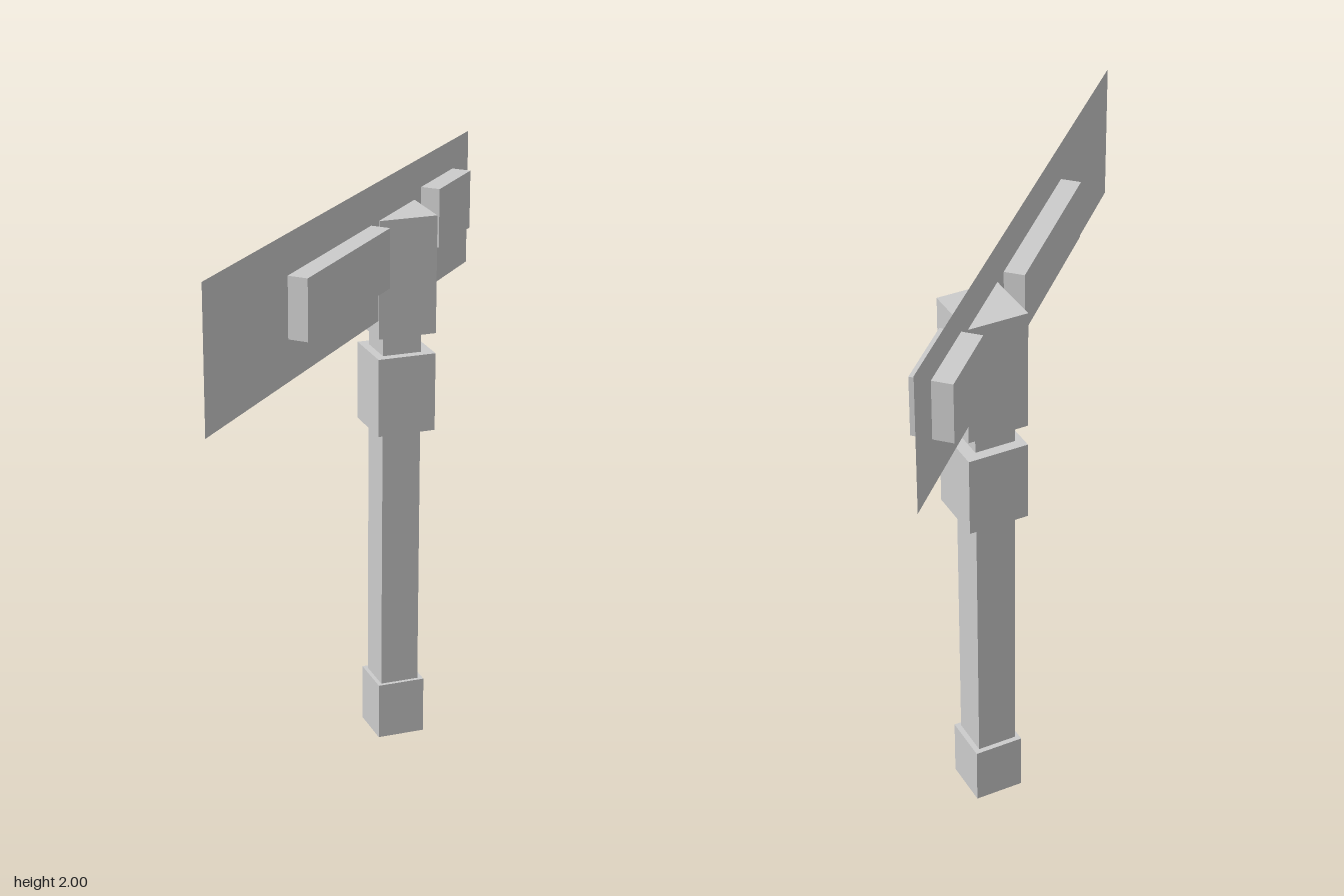
import * as THREE from 'three';

export function createModel() {
  const model = new THREE.Group();
  model.name = 'signpost';

  const grey = new THREE.MeshStandardMaterial({ color: 0xcccccc, side: THREE.DoubleSide });
  grey.name = 'light grey';

  function add(name, geometry, x, y, z, turn = 0) {
    const mesh = new THREE.Mesh(geometry, grey);
    mesh.name = name;
    mesh.position.set(x, y, z);
    mesh.rotation.y = turn;
    model.add(mesh);
  }

  // Square post sections, all turned by 45 degrees: name, half diagonal, bottom, top, x, z
  const sections = [
    ['base', 0.117, 0, 0.2, -0.004, -0.365],
    ['post', 0.095, 0.1, 1.6, -0.004, -0.362],
    ['collar', 0.142, 1.13, 1.4, -0.001, -0.368],
    ['head', 0.142, 1.47, 1.87, -0.001, -0.368],
  ];
  for (const [name, half, y0, y1, x, z] of sections) {
    const side = half * Math.SQRT2;
    add(name, new THREE.BoxGeometry(side, y1 - y0, side), x, (y0 + y1) / 2, z, Math.PI / 4);
  }

  // Sign board, a single upright sheet
  add('signBoard', new THREE.PlaneGeometry(1.94, 0.467), -0.003, 1.767, 0, Math.PI / 2);

  // Raised blocks standing out on both faces of the board
  add('longBlock', new THREE.BoxGeometry(0.133, 0.2, 0.6), -0.003, 1.77, 0.133);
  add('shortBlock', new THREE.BoxGeometry(0.133, 0.2, 0.267), -0.003, 1.8, -0.7);

  return model;
}
